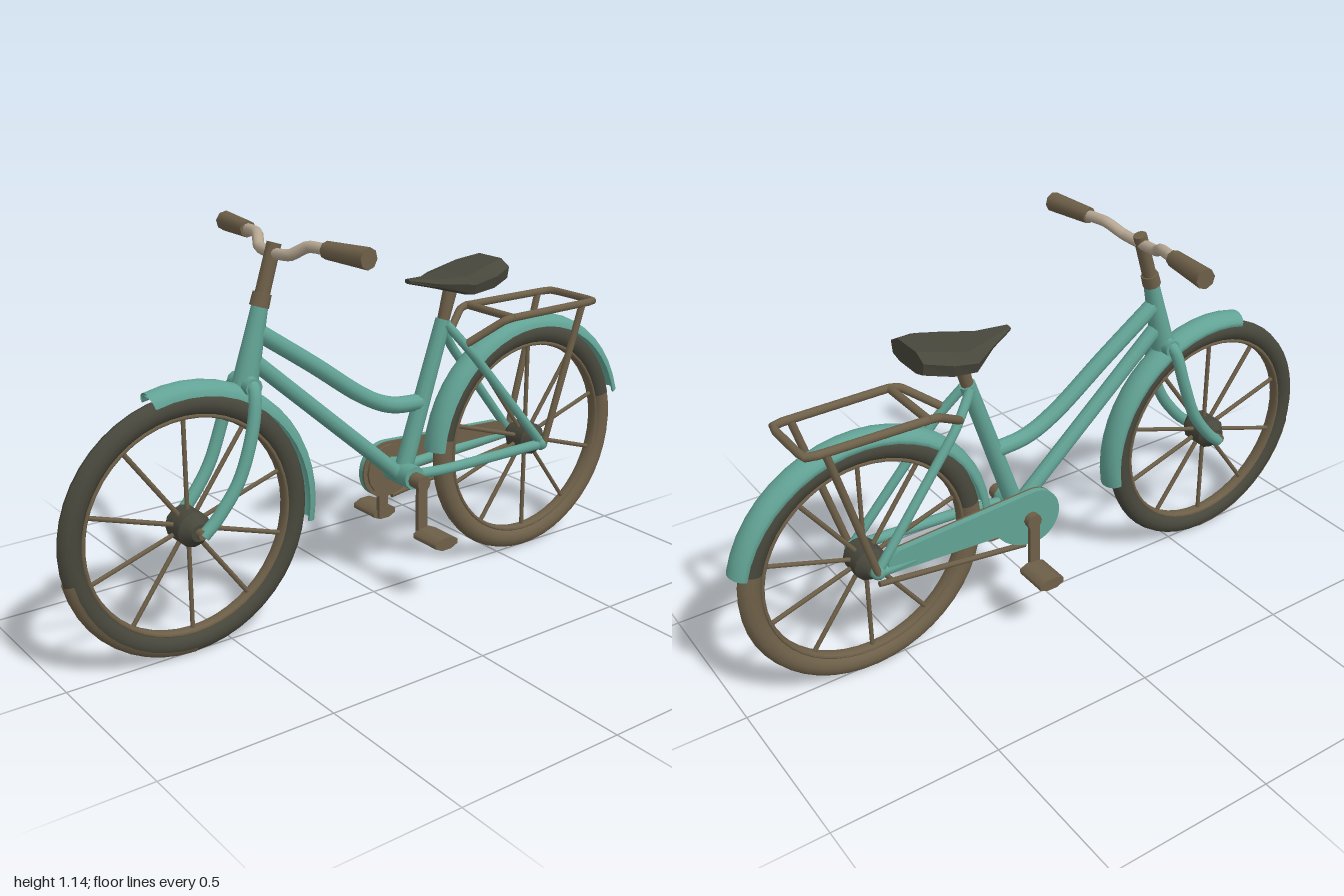
import * as THREE from 'three';

const mat = (name, color) => {
  const m = new THREE.MeshStandardMaterial({ color, side: THREE.DoubleSide });
  m.name = name;
  return m;
};
const V = (x, y, z) => new THREE.Vector3(x, y, z);
const rad = THREE.MathUtils.degToRad;

export function createModel() {
  const teal = mat('teal paint', 0x62a395);
  const dark = mat('dark rubber', 0x47473c);
  const brown = mat('brown metal', 0x6e6049);
  const beige = mat('beige bar', 0xb5a691);
  const model = new THREE.Group();
  model.name = 'bicycle';

  const add = (name, geo, material, parent = model) => {
    const m = new THREE.Mesh(geo, material);
    m.name = name;
    parent.add(m);
    return m;
  };
  // Straight bar from a to b, optionally tapered
  const rod = (name, a, b, r, material, r2 = r, sides = 10, parent = model) => {
    const m = add(name, new THREE.CylinderGeometry(r2, r, a.distanceTo(b), sides), material, parent);
    m.position.copy(a).lerp(b, 0.5);
    m.quaternion.setFromUnitVectors(V(0, 1, 0), b.clone().sub(a).normalize());
    return m;
  };
  // Bent tube through points
  const tube = (name, pts, r, material, tension = 0.5, closed = false) =>
    add(name, new THREE.TubeGeometry(new THREE.CatmullRomCurve3(pts, closed, 'catmullrom', tension), 28, r, 10, closed), material);
  // Profile [radius, x] swept about the x axis; angles run from +z up to +y
  const sweep = (profile, from, to) =>
    new THREE.LatheGeometry(profile.map(p => new THREE.Vector2(p[0], p[1])),
      Math.max(6, Math.round((to - from) / 7.5)), rad(from), rad(to - from)).rotateZ(Math.PI / 2);
  // Oval profile arc
  const oval = (rc, a, b, from, to, n) => Array.from({ length: n + 1 }, (_, i) => {
    const t = rad(from + (to - from) * i / n);
    return [rc + a * Math.cos(t), b * Math.sin(t)];
  });

  // Wheels
  const makeWheel = (name, z, tyreArcs) => {
    const w = new THREE.Group();
    w.name = name;
    w.position.set(0, 0.372, z);
    model.add(w);
    for (const [material, from, to] of tyreArcs)
      add('tyre', sweep(oval(0.341, 0.032, 0.028, 0, 360, 12), from, to), material, w);
    add('rim', sweep(oval(0.309, 0.008, 0.02, 0, 360, 8), 0, 360), brown, w);
    add('hub', new THREE.CylinderGeometry(0.05, 0.05, 0.07, 12).rotateZ(Math.PI / 2), dark, w);
    for (const s of [-1, 1])
      rod('hubFlange', V(s * 0.035, 0, 0), V(s * 0.065, 0, 0), 0.05, dark, 0.025, 12, w);
    rod('axle', V(-0.085, 0, 0), V(0.085, 0, 0), 0.014, brown, 0.014, 8, w);
    for (let i = 0; i < 10; i++) {
      const a = i * Math.PI / 5 + Math.PI / 2;
      const d = V(0, Math.sin(a), Math.cos(a));
      rod('spoke', d.clone().multiplyScalar(0.04), d.clone().multiplyScalar(0.308), 0.007, brown, 0.007, 6, w);
    }
    return w;
  };
  const front = makeWheel('frontWheel', 0.622, [[dark, 0, 360]]);
  add('wornTread', sweep(oval(0.342, 0.033, 0.0285, -70, 70, 8), -90, -12), brown, front);
  const rear = makeWheel('rearWheel', -0.604, [[dark, 10, 165], [brown, 165, 370]]);

  // Mudguards
  const guardProfile = [...oval(0.368, 0.036, 0.043, -90, 90, 10), ...oval(0.368, 0.026, 0.036, 90, -90, 10), [0.368, -0.043]];
  add('frontMudguard', sweep(guardProfile, 75, 190), teal, front);
  add('rearMudguard', sweep(guardProfile, 5, 165), teal, rear);

  // Frame
  rod('headTube', V(0, 0.73, 0.432), V(0, 0.94, 0.378), 0.036, teal, 0.023, 12);
  tube('topTube', [V(0, 0.87, 0.385), V(0, 0.75, 0.21), V(0, 0.635, 0.05), V(0, 0.582, -0.06), V(0, 0.57, -0.17)], 0.025, teal);
  rod('downTube', V(0, 0.8, 0.41), V(0, 0.36, -0.09), 0.023, teal);
  rod('seatTube', V(0, 0.36, -0.107), V(0, 0.81, -0.257), 0.028, teal, 0.024);
  rod('bottomBracket', V(-0.06, 0.36, -0.107), V(0.06, 0.36, -0.107), 0.036, teal, 0.036, 12);
  rod('forkCrown', V(-0.05, 0.735, 0.432), V(0.05, 0.735, 0.432), 0.026, teal);
  for (const s of [-1, 1]) {
    tube('forkBlade', [V(s * 0.02, 0.75, 0.43), V(s * 0.06, 0.72, 0.437), V(s * 0.077, 0.62, 0.46),
      V(s * 0.08, 0.5, 0.505), V(s * 0.077, 0.41, 0.57), V(s * 0.075, 0.365, 0.618)], 0.018, teal);
    tube('seatStay', [V(s * 0.015, 0.8, -0.255), V(s * 0.048, 0.7, -0.335), V(s * 0.075, 0.372, -0.604)], 0.014, teal, 0.2);
    tube('chainStay', [V(s * 0.03, 0.36, -0.11), V(s * 0.055, 0.36, -0.24), V(s * 0.075, 0.368, -0.61)], 0.016, teal, 0.3);
    const end = add('stayEnd', new THREE.SphereGeometry(0.022, 10, 8), teal);
    end.position.set(s * 0.075, 0.37, -0.604);
  }

  // Stem, handlebar and grips
  rod('stem', V(0, 0.94, 0.379), V(0, 1.105, 0.328), 0.021, brown, 0.02);
  rod('stemCollar', V(0, 0.94, 0.38), V(0, 0.975, 0.369), 0.027, brown, 0.026);
  const half = [[0.21, 1.11, 0.288], [0.125, 1.11, 0.303], [0.075, 1.083, 0.328]];
  tube('handlebar', [...half.map(p => V(-p[0], p[1], p[2])), V(0, 1.078, 0.333),
    ...half.reverse().map(p => V(...p))], 0.016, beige, 0.3);
  for (const s of [-1, 1])
    rod('grip', V(s * 0.19, 1.11, 0.292), V(s * 0.345, 1.11, 0.272), 0.024, brown, 0.029, 8);

  // Saddle lofted from eight-sided sections: z, half width, top, shoulder, lower edge, bottom
  const stations = [[-0.12, 0.012, 0.948, 0.945, 0.938, 0.935], [-0.2, 0.052, 0.942, 0.932, 0.922, 0.915],
    [-0.285, 0.112, 0.945, 0.93, 0.9, 0.892], [-0.36, 0.115, 0.967, 0.945, 0.91, 0.893], [-0.435, 0.085, 0.98, 0.96, 0.925, 0.915]];
  const pos = [], idx = [], n = 8;
  for (const [z, h, t, u, l, b] of stations)
    for (const [x, y] of [[0.5, b], [0.92, l], [1, u], [0.58, t], [-0.58, t], [-1, u], [-0.92, l], [-0.5, b]])
      pos.push(x * h, y, z);
  for (let i = 0; i < stations.length - 1; i++)
    for (let j = 0; j < n; j++) {
      const a = i * n + j, c = i * n + (j + 1) % n;
      idx.push(a, a + n, c, c, a + n, c + n);
    }
  const last = (stations.length - 1) * n;
  for (let j = 1; j < n - 1; j++) idx.push(0, j, j + 1, last, last + j + 1, last + j);
  let saddle = new THREE.BufferGeometry();
  saddle.setAttribute('position', new THREE.Float32BufferAttribute(pos, 3));
  saddle.setIndex(idx);
  saddle = saddle.toNonIndexed();
  saddle.computeVertexNormals();
  add('saddle', saddle, dark);
  rod('seatPost', V(0, 0.8, -0.254), V(0, 0.91, -0.285), 0.018, brown, 0.022);

  // Luggage rack
  tube('rackHoop', [V(-0.105, 0.808, -0.44), V(-0.1, 0.81, -0.77), V(-0.085, 0.81, -0.79),
    V(0.085, 0.81, -0.79), V(0.1, 0.81, -0.77), V(0.105, 0.808, -0.44)], 0.012, brown, 0.1);
  rod('rackCrossbar', V(-0.105, 0.808, -0.44), V(0.105, 0.808, -0.44), 0.012, brown);
  for (const s of [-1, 1]) {
    tube('rackArm', [V(s * 0.105, 0.808, -0.44), V(s * 0.098, 0.8, -0.405), V(s * 0.045, 0.735, -0.31)], 0.012, brown, 0.2);
    rod('rackStrut', V(s * 0.085, 0.372, -0.608), V(s * 0.1, 0.81, -0.735), 0.011, brown);
  }

  // Cranks and pedals
  for (const s of [-1, 1]) {
    rod('crankAxle', V(s * 0.05, 0.355, -0.107), V(s * 0.105, 0.355, -0.107), 0.024, brown);
    const crank = add('crank', new THREE.BoxGeometry(0.014, 0.18, 0.034), brown);
    crank.position.set(s * 0.096, 0.275, -0.105);
    const pedal = add('pedal', new THREE.CylinderGeometry(0.5, 0.5, 1, 8).rotateY(Math.PI / 8).rotateZ(Math.PI / 2), brown);
    pedal.scale.set(0.105, 0.04, 0.088);
    pedal.position.set(s * 0.15, 0.196, -0.115);
  }

  // Chain case, chainring and lower chain run on the right side
  const caseShape = new THREE.Shape();
  caseShape.moveTo(-0.54, 0.42);
  caseShape.lineTo(-0.1, 0.443);
  caseShape.absarc(-0.095, 0.355, 0.088, Math.PI / 2, -Math.PI / 2, true);
  caseShape.quadraticCurveTo(-0.18, 0.275, -0.22, 0.335);
  caseShape.lineTo(-0.56, 0.355);
  caseShape.quadraticCurveTo(-0.6, 0.39, -0.54, 0.42);
  const plate = (name, depth, x, material) => {
    const g = new THREE.ExtrudeGeometry(caseShape, { depth, bevelEnabled: false, curveSegments: 14 }).rotateY(-Math.PI / 2);
    add(name, g, material).position.x = x;
  };
  plate('chainCase', 0.018, -0.066, teal);
  plate('chainCaseLining', 0.006, -0.06, brown);
  rod('chainring', V(-0.052, 0.355, -0.1), V(-0.06, 0.355, -0.1), 0.08, brown, 0.08, 16);
  rod('lowerChain', V(-0.07, 0.262, -0.12), V(-0.07, 0.325, -0.6), 0.009, brown, 0.009, 6);

  return model;
}
